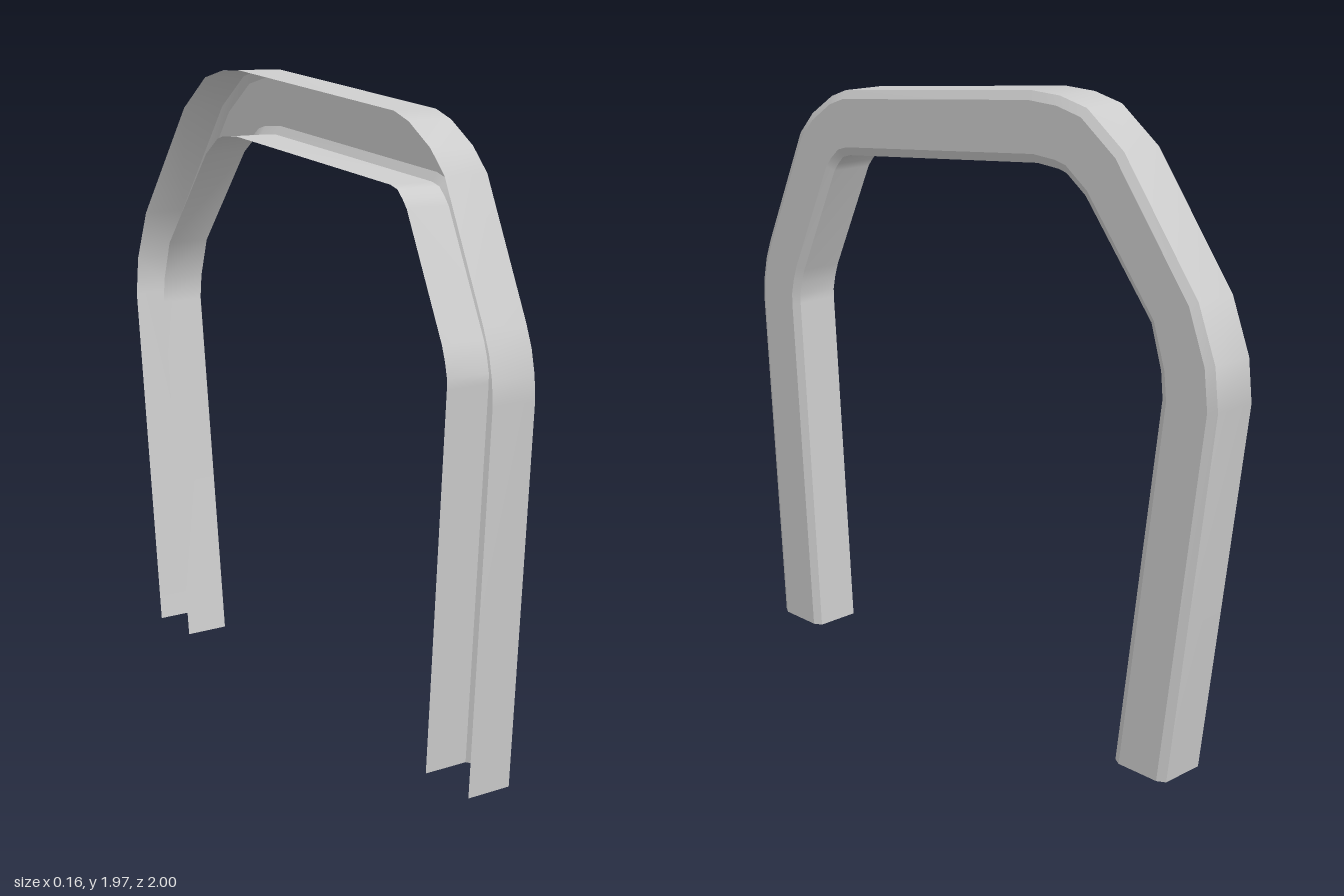
import * as THREE from 'three';

// Arch outline as matching [z, y] stations, front foot to back foot
const OUTER = [
  [0.93, 0], [1.0, 1.14], [0.995, 1.21], [0.98, 1.28], [0.955, 1.345],
  [0.775, 1.73], [0.71, 1.8], [0.61, 1.865], [0.54, 1.89],
  [-0.28, 1.965], [-0.395, 1.96], [-0.5, 1.935], [-0.64, 1.83],
  [-0.92, 1.455], [-0.985, 1.29], [-1.0, 1.16], [-0.86, 0],
];
const INNER = [
  [0.73, 0], [0.8, 1.15], [0.8, 1.18], [0.79, 1.225], [0.775, 1.27],
  [0.605, 1.625], [0.585, 1.65], [0.56, 1.675], [0.525, 1.685],
  [-0.31, 1.76], [-0.395, 1.753], [-0.425, 1.745], [-0.5, 1.69],
  [-0.755, 1.37], [-0.795, 1.24], [-0.803, 1.16], [-0.66, 0],
];

// Channel section as [x, fraction from outer to inner edge], open on -x
const SECTION = [
  ['outerWall', -0.08, 0],
  ['outerChamfer', 0.065, 0],
  ['sideFace', 0.08, 0.13],
  ['innerChamfer', 0.08, 0.87],
  ['innerWall', 0.065, 1],
  [null, -0.08, 1],
];

// One strip of the channel, smooth along the arch and creased at its edges
function strip([, x0, t0], [, x1, t1]) {
  const positions = [];
  const index = [];
  OUTER.forEach(([oz, oy], i) => {
    const [iz, iy] = INNER[i];
    for (const [x, t] of [[x0, t0], [x1, t1]]) {
      positions.push(x, THREE.MathUtils.lerp(oy, iy, t), THREE.MathUtils.lerp(oz, iz, t));
    }
    if (i > 0) {
      const a = 2 * i - 2;
      index.push(a, a + 1, a + 3, a, a + 3, a + 2);
    }
  });
  const geometry = new THREE.BufferGeometry();
  geometry.setAttribute('position', new THREE.Float32BufferAttribute(positions, 3));
  geometry.setIndex(index);
  geometry.computeVertexNormals();
  return geometry;
}

export function createModel() {
  const group = new THREE.Group();
  group.name = 'archChannel';
  const material = new THREE.MeshStandardMaterial({ color: 0xcccccc, side: THREE.DoubleSide });
  for (let i = 0; i < SECTION.length - 1; i++) {
    const mesh = new THREE.Mesh(strip(SECTION[i], SECTION[i + 1]), material);
    mesh.name = SECTION[i][0];
    group.add(mesh);
  }
  return group;
}
